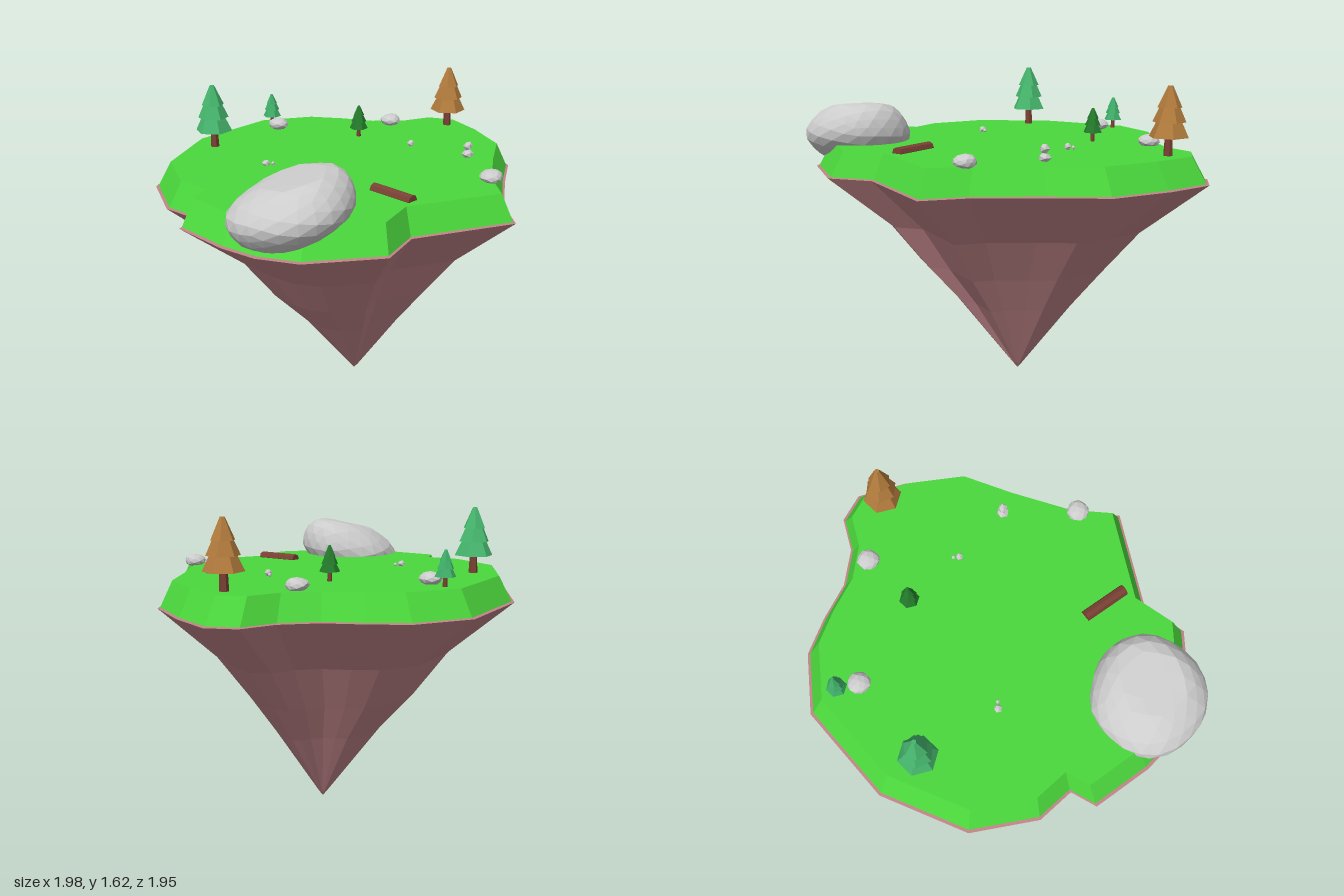
import * as THREE from 'three';

const material = (color) => new THREE.MeshStandardMaterial({ color, flatShading: true });
const STONE = material(0xcccccc);
const BARK = material(0x7a4034);
const SOIL = material(0xc08488);
const GRASS = material(0x4bd83c);
const GROUND = 1.285;

// Island outline as x, z pairs, running clockwise seen from above
const OUTLINE = [
  [-0.17, -0.98], [0.15, -0.93], [0.32, -0.81], [0.48, -0.67], [0.67, -0.59], [0.86, -0.59],
  [0.98, -0.48], [0.99, -0.22], [0.95, 0.1], [0.77, 0.34], [0.57, 0.64], [0.49, 0.86],
  [-0.05, 0.82], [-0.24, 0.97], [-0.62, 0.87], [-0.78, 0.73], [-0.88, 0.56], [-0.99, 0.26],
  [-0.89, 0.16], [-0.98, -0.02], [-0.95, -0.37], [-0.66, -0.74],
];

function add(parent, name, geometry, mat, x = 0, y = 0, z = 0) {
  const mesh = new THREE.Mesh(geometry, mat);
  mesh.name = name;
  mesh.position.set(x, y, z);
  parent.add(mesh);
  return mesh;
}

// Joins scaled copies of the outline; levels are [y, scale, x offset], listed upwards
function loftOutline(levels) {
  const n = OUTLINE.length;
  const positions = [];
  const point = (level, i) => {
    const [y, s, dx] = levels[level];
    const [x, z] = OUTLINE[i % n];
    return [x * s + dx, y, z * s];
  };
  for (let l = 0; l < levels.length - 1; l++) {
    for (let i = 0; i < n; i++) {
      const a = point(l, i), b = point(l + 1, i), c = point(l + 1, i + 1), d = point(l, i + 1);
      if (levels[l + 1][1] > 0) positions.push(...a, ...b, ...c);
      if (levels[l][1] > 0) positions.push(...a, ...(levels[l + 1][1] > 0 ? c : b), ...d);
    }
  }
  const geometry = new THREE.BufferGeometry();
  geometry.setAttribute('position', new THREE.Float32BufferAttribute(positions, 3));
  geometry.computeVertexNormals();
  return geometry;
}

// Lumpy stone: a faceted ball pushed in and out by smooth waves
function stoneGeometry(rx, ry, rz, detail, seed, lump = 0.08) {
  const geometry = new THREE.IcosahedronGeometry(1, detail);
  const p = geometry.attributes.position;
  const v = new THREE.Vector3();
  for (let i = 0; i < p.count; i++) {
    v.fromBufferAttribute(p, i);
    const wave = Math.sin(v.x * 4 + seed) * Math.cos(v.z * 3.5 - seed) + Math.sin(v.y * 5 + v.x * 2 + seed);
    v.multiplyScalar(1 + lump * 0.5 * wave);
    p.setXYZ(i, v.x * rx, v.y * ry, v.z * rz);
  }
  geometry.computeVertexNormals();
  return geometry;
}

// Pine with a trunk and three overlapping six-sided skirts
function makeTree(name, x, z, scale, color) {
  const tree = new THREE.Group();
  tree.name = name;
  add(tree, 'trunk', new THREE.CylinderGeometry(0.018, 0.024, 0.14, 6), BARK, 0, 0.06, 0);
  const needles = material(color);
  // bottom radius, top radius, bottom y, top y
  const tiers = [[0.1, 0.052, 0.092, 0.19], [0.082, 0.038, 0.165, 0.262], [0.06, 0.012, 0.235, 0.34]];
  tiers.forEach(([r0, r1, y0, y1], i) => {
    const skirt = new THREE.CylinderGeometry(r1, r0, y1 - y0, 6);
    add(tree, 'foliageTier', skirt, needles, 0, (y0 + y1) / 2, 0).rotation.y = i * 0.2;
  });
  tree.position.set(x, GROUND, z);
  tree.scale.setScalar(scale);
  return tree;
}

export function createModel() {
  const model = new THREE.Group();
  model.name = 'floatingIsland';

  // Tapering underside and sloped grass cap
  add(model, 'soilUnderside', loftOutline([
    [0, 0, 0.04], [0.035, 0.028, 0.04], [0.42, 0.31, 0.025], [0.63, 0.485, 0.005],
    [0.87, 0.67, 0.01], [1.15, 1, 0], [1.155, 0.95, 0],
  ]), SOIL);
  add(model, 'grassCap', loftOutline([
    [1.155, 0.985, 0], [GROUND, 0.915, 0], [GROUND, 0, 0],
  ]), GRASS);

  // Large boulder, leaning over the front left edge
  const boulderGeometry = stoneGeometry(0.295, 0.175, 0.275, 3, 2.1, 0.06);
  const p = boulderGeometry.attributes.position;
  for (let i = 0; i < p.count; i++) {
    const x = p.getX(i), y = p.getY(i), z = p.getZ(i);
    p.setY(i, Math.min(y, 0.145) + x * 0.2 + z * 0.08);
  }
  boulderGeometry.computeVertexNormals();
  add(model, 'boulder', boulderGeometry, STONE, -0.56, 1.32, 0.64);

  // Trees
  model.add(
    makeTree('largePine', -0.575, -0.51, 1, 0x45b56c),
    makeTree('autumnPine', 0.81, -0.36, 1, 0xb07a3c),
    makeTree('smallPine', -0.13, -0.81, 0.52, 0x3fae68),
    makeTree('darkPine', 0.23, -0.36, 0.52, 0x237a2b),
  );

  // Rocks and pebbles: x, y, z, radius, height factor
  [
    [-0.13, 1.312, -0.7, 0.058, 0.6], [0.51, 1.31, -0.51, 0.058, 0.6], [0.5, 1.308, 0.61, 0.058, 0.6],
  ].forEach(([x, y, z, r, h], i) => add(model, 'rock', stoneGeometry(r, r * h, r, 1, i + 1), STONE, x, y, z));
  [
    [0.595, 1.302, 0.23, 0.034, 0.7], [0.595, 1.345, 0.23, 0.026, 1],
    [0.405, 1.305, -0.055, 0.02, 1], [0.413, 1.298, -0.085, 0.011, 1],
    [-0.43, 1.297, -0.08, 0.022, 0.8], [-0.395, 1.293, -0.072, 0.011, 1],
  ].forEach(([x, y, z, r, h], i) => add(model, 'pebble', stoneGeometry(r, r * h, r, 0, i), STONE, x, y, z));

  // Fallen log, half sunk in the grass
  const log = add(model, 'fallenLog', new THREE.CylinderGeometry(0.03, 0.03, 0.25, 8).rotateX(Math.PI / 2),
    BARK, -0.033, 1.287, 0.59);
  log.rotation.y = Math.atan2(0.09, 0.24);

  return model;
}
